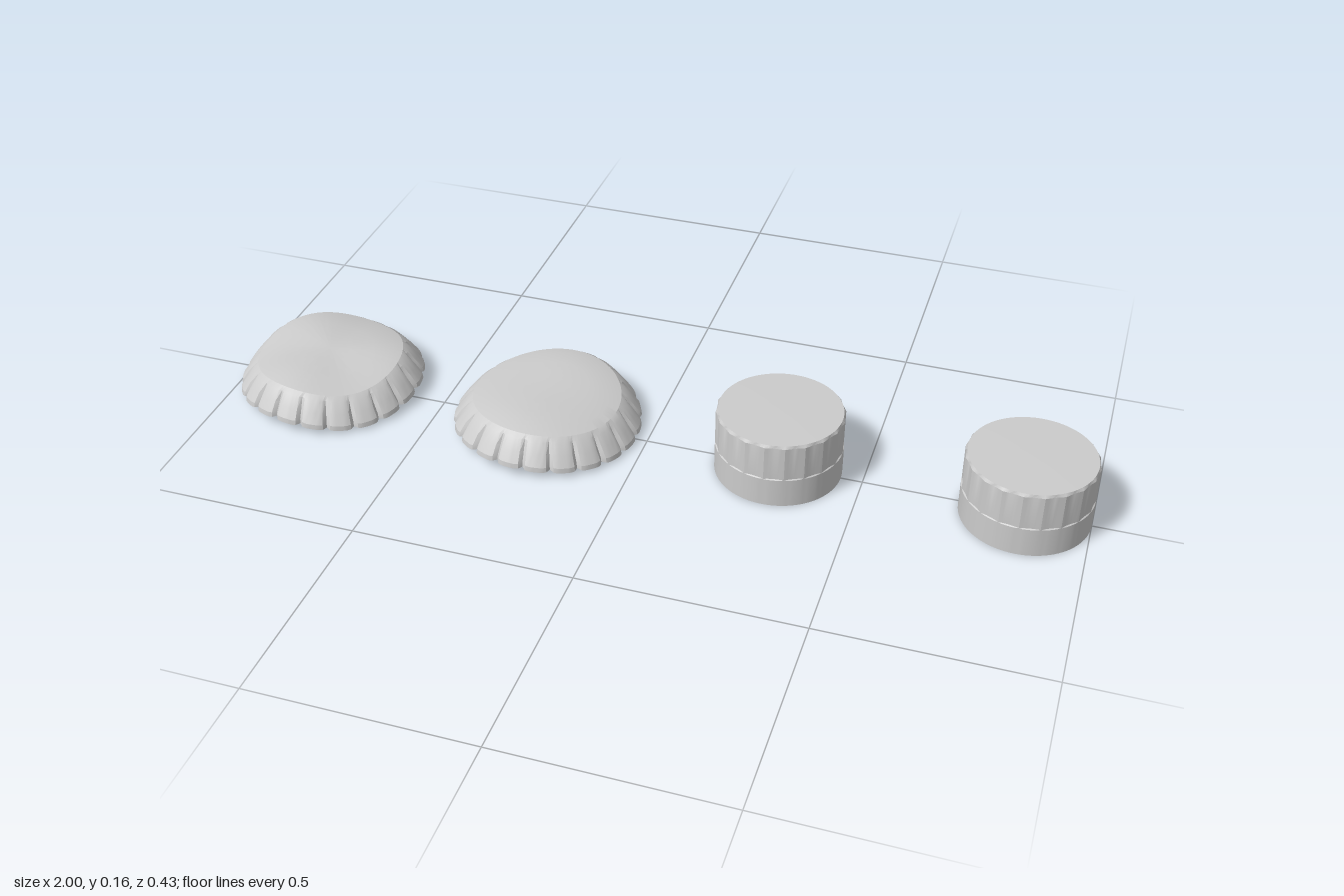
import * as THREE from 'three';
import { toCreasedNormals } from 'three/addons/utils/BufferGeometryUtils.js';

const material = new THREE.MeshStandardMaterial({ color: 0xcccccc, side: THREE.DoubleSide });

// Skin a stack of rings [radius, height, flute]; flute (0..1) scales the fluting depth.
function loftRings(rings, segments, fluteDepth, bend, crease) {
  const position = [], index = [];
  for (const [radius, y, flute = 0] of rings) {
    for (let j = 0; j < segments; j++) {
      const a = (j / segments) * Math.PI * 2;
      const r = radius - flute * fluteDepth(a);
      const x = r * Math.cos(a), z = r * Math.sin(a);
      position.push(x, y + bend(x, z), z);
    }
  }
  for (let i = 0; i < rings.length - 1; i++) {
    for (let j = 0; j < segments; j++) {
      const k = (j + 1) % segments;
      const a = i * segments + j, b = a + segments;
      const c = i * segments + k, d = c + segments;
      if (rings[i][0] > 0) index.push(a, b, c);
      if (rings[i + 1][0] > 0) index.push(b, d, c);
    }
  }
  const geometry = new THREE.BufferGeometry();
  geometry.setAttribute('position', new THREE.Float32BufferAttribute(position, 3));
  geometry.setIndex(index);
  return toCreasedNormals(geometry, crease);
}

// Bent crown cap: pleated, flaring skirt around a domed top, with a shallow liner below.
// The bend is a wave with the given number of raised lobes around the rim.
function crownCap(name, x, { lobes, ridge, fold, lift, hump, tiltX, tiltZ }) {
  const R = 0.217, pleats = 21;
  const pleatDepth = (a) => 0.012 * Math.pow(1 - Math.abs(Math.sin((a * pleats) / 2)), 3);
  const bend = (px, pz) => {
    const q = Math.hypot(px, pz) / R;
    const a = Math.atan2(pz, px);
    return lift + hump * (1 - q * q) + fold * q * Math.sin(2.2 * q) * Math.cos(lobes * (a - ridge))
      + (tiltX * px + tiltZ * pz) / R;
  };
  const rings = [
    [0, 0.037], [0.06, 0.037], [0.12, 0.035], [0.172, 0.03],          // liner underside
    [0.188, 0.026, 0.6], [0.21, 0.002, 1],                            // inner skirt
    [0.217, 0, 1], [0.215, 0.011, 1], [0.2, 0.032, 0.9],              // outer skirt
    [0.182, 0.053, 0.4], [0.17, 0.061],                               // shoulder
    [0.145, 0.066], [0.1, 0.07], [0.05, 0.071], [0, 0.071],           // top
  ];
  const mesh = new THREE.Mesh(loftRings(rings, pleats * 8, pleatDepth, bend, 0.35), material);
  mesh.name = name;
  mesh.position.x = x;
  return mesh;
}

// Hollow screw cap: plain lower band, shallow flutes above, flat top.
function screwCap(name, x) {
  const flutes = 20;
  const fluteDepth = (a) => 0.003 * Math.abs(Math.sin((a * flutes) / 2));
  const rings = [
    [0, 0.144], [0.132, 0.144], [0.132, 0],                           // hollow inside
    [0.143, 0], [0.143, 0.068],                                       // plain band
    [0.143, 0.07, 1], [0.143, 0.151, 1],                              // fluted band
    [0.138, 0.157], [0.06, 0.158], [0, 0.159],                        // bevel and top
  ];
  const mesh = new THREE.Mesh(loftRings(rings, flutes * 6, fluteDepth, () => 0, 0.35), material);
  mesh.name = name;
  mesh.position.x = x;
  return mesh;
}

export function createModel() {
  const group = new THREE.Group();
  group.name = 'bottleCaps';
  group.add(
    crownCap('crownCapOuter', -0.785, {
      lobes: 3, ridge: 1.83, fold: 0.011, lift: 0.018, hump: 0.008, tiltX: -0.002, tiltZ: -0.003,
    }),
    crownCap('crownCapInner', -0.24, {
      lobes: 2, ridge: 1.8, fold: 0.011, lift: 0.018, hump: 0.012, tiltX: -0.003, tiltZ: -0.004,
    }),
    screwCap('screwCapInner', 0.308),
    screwCap('screwCapOuter', 0.857),
  );
  return group;
}
